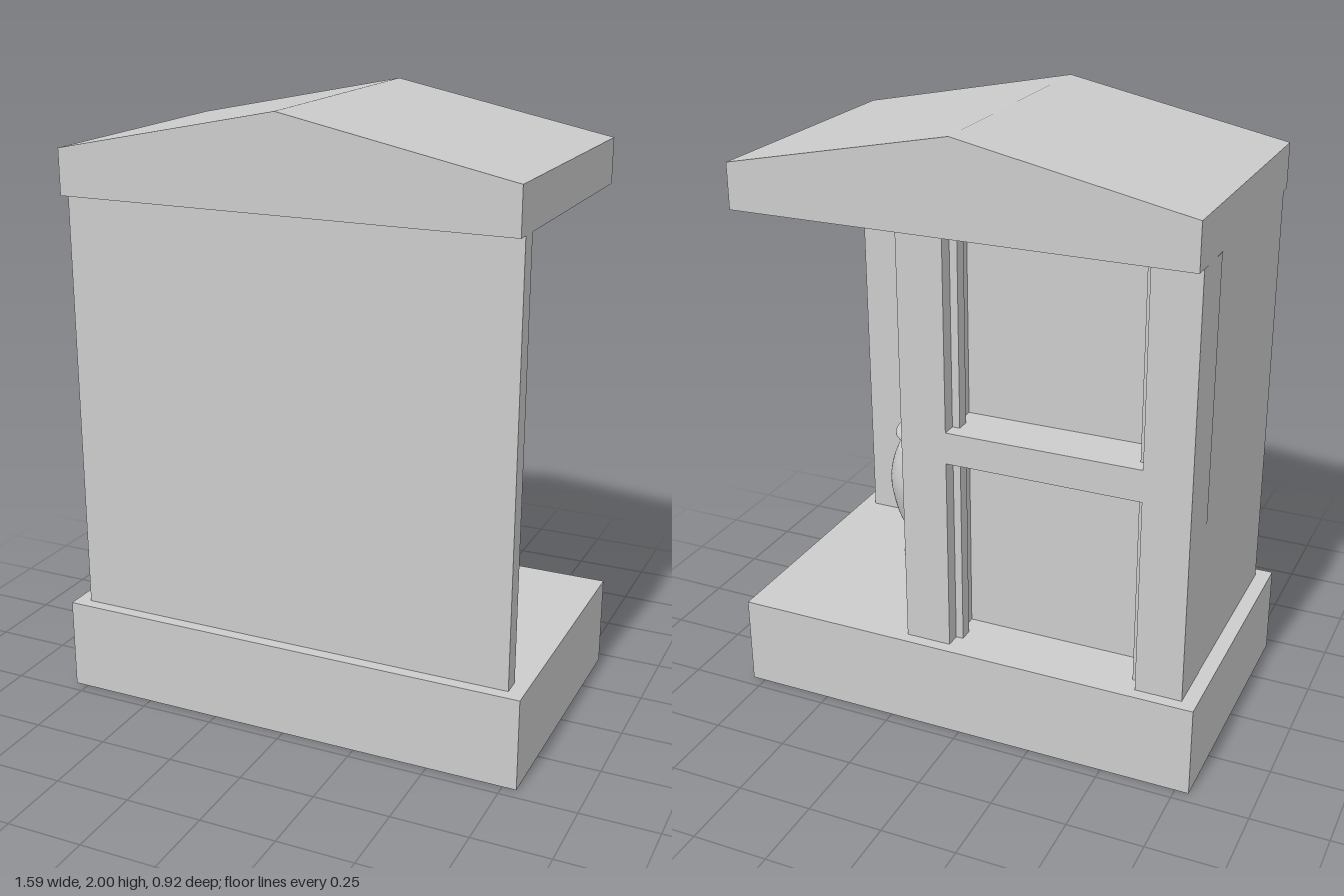
import * as THREE from 'three';

const material = new THREE.MeshStandardMaterial({ color: 0xcccccc });
const vaseMaterial = new THREE.MeshStandardMaterial({ color: 0xcccccc, side: THREE.DoubleSide });

// Box given by its limits on each axis
function block(name, [x0, x1], [y0, y1], [z0, z1]) {
  const mesh = new THREE.Mesh(new THREE.BoxGeometry(x1 - x0, y1 - y0, z1 - z0), material);
  mesh.position.set((x0 + x1) / 2, (y0 + y1) / 2, (z0 + z1) / 2);
  mesh.name = name;
  return mesh;
}

// Smooth turned section through a few [radius, height] points
function turned(name, points) {
  const curve = new THREE.SplineCurve(points.map(([r, y]) => new THREE.Vector2(r, y)));
  const mesh = new THREE.Mesh(new THREE.LatheGeometry(curve.getPoints(points.length * 5), 48), vaseMaterial);
  mesh.name = name;
  return mesh;
}

function createRoof() {
  const gable = new THREE.Shape([
    [-0.745, 1.7], [0.745, 1.7], [0.745, 1.848], [0, 2], [-0.745, 1.848],
  ].map(([x, y]) => new THREE.Vector2(x, y)));
  const geometry = new THREE.ExtrudeGeometry(gable, { depth: 0.92, bevelEnabled: false });
  const roof = new THREE.Mesh(geometry.translate(0, 0, -0.46), material);
  roof.name = 'gabledRoof';
  return roof;
}

function createVase() {
  const vase = new THREE.Group();
  vase.name = 'vase';
  vase.add(
    turned('foot', [[0, 0], [0.1, 0], [0.115, 0.02], [0.11, 0.038], [0.09, 0.05]]),
    turned('stem', [[0.09, 0.05], [0.068, 0.07], [0.068, 0.085], [0.09, 0.102]]),
    turned('body', [[0.09, 0.102], [0.13, 0.19], [0.153, 0.3], [0.146, 0.38], [0.125, 0.44]]),
    turned('neck', [[0.125, 0.44], [0.107, 0.455], [0.107, 0.47], [0.118, 0.482]]),
    turned('rim', [[0.118, 0.482], [0.132, 0.492], [0.125, 0.508], [0.105, 0.516]]),
    turned('top', [[0.105, 0.516], [0, 0.516]]),
  );
  vase.position.set(0.35, 0.305, 0.095);
  return vase;
}

export function createModel() {
  const model = new THREE.Group();
  model.name = 'shrine';
  const wallY = [0.305, 1.7];

  // Plinth, full-width front slab and the solid core beside the open niche
  model.add(
    block('plinth', [-0.795, 0.795], [0, 0.305], [-0.46, 0.46]),
    block('frontSlab', [-0.745, 0.745], wallY, [0.36, 0.42]),
    block('core', [-0.745, 0.2], wallY, [-0.25, 0.36]),
    createRoof(),
  );

  // Rear frame: two posts with a vertical rib inside each, joined by a rail
  const centre = -0.273;
  for (const side of [-1, 1]) {
    const span = (a, b) => [centre + side * a, centre + side * b].sort((p, q) => p - q);
    model.add(
      block('rearPost', span(0.32, 0.473), wallY, [-0.42, -0.25]),
      block('postRib', span(0.295, 0.32), wallY, [-0.37, -0.325]),
    );
  }
  model.add(block('rearRail', [centre - 0.32, centre + 0.32], [0.96, 1.065], [-0.42, -0.25]));

  model.add(createVase());
  return model;
}
